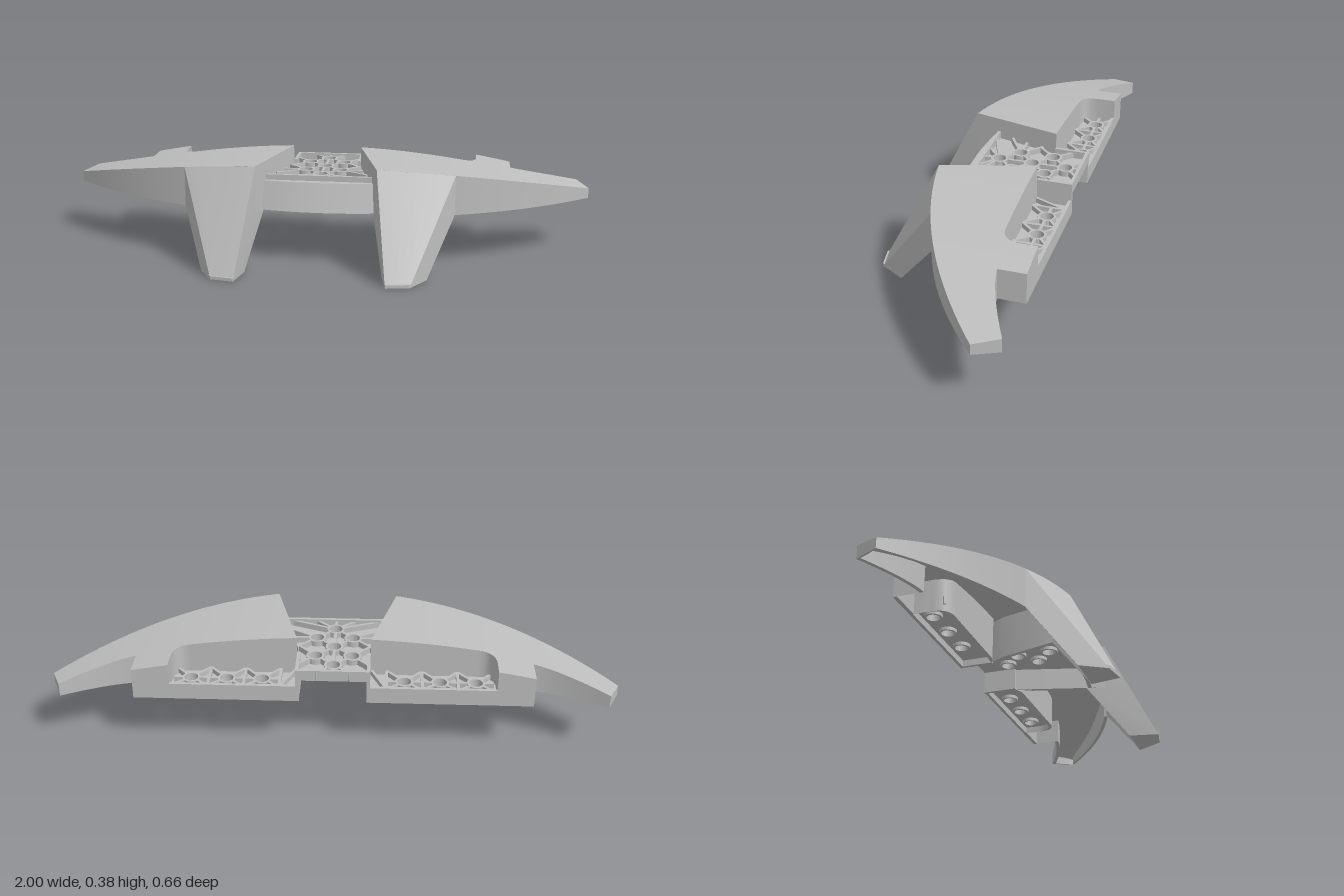
import * as THREE from 'three';
import { toCreasedNormals, mergeGeometries } from 'three/addons/utils/BufferGeometryUtils.js';

const grey = new THREE.MeshStandardMaterial({ color: 0xbebebe, side: THREE.DoubleSide });
grey.name = 'plain grey';
const T = 0.015; // wall thickness

function mesh(name, geometry) {
  const m = new THREE.Mesh(geometry, grey);
  m.name = name;
  return m;
}

// Joins closed rings of points into a surface; optional fan caps at both ends
function loft(rings, caps = false) {
  const pos = [];
  const tri = (a, b, c) => {
    const [A, B, C] = [a, b, c].map((p) => new THREE.Vector3(...p));
    if (B.clone().sub(A).cross(C.clone().sub(A)).length() > 1e-8) pos.push(...a, ...b, ...c);
  };
  for (let i = 0; i + 1 < rings.length; i++) {
    const p = rings[i], q = rings[i + 1], n = p.length;
    for (let j = 0; j < n; j++) {
      const k = (j + 1) % n;
      tri(p[j], q[j], q[k]);
      tri(p[j], q[k], p[k]);
    }
  }
  if (caps) {
    const a = rings[0], b = rings[rings.length - 1];
    for (let j = 1; j + 1 < a.length; j++) {
      tri(a[0], a[j], a[j + 1]);
      tri(b[0], b[j + 1], b[j]);
    }
  }
  const g = new THREE.BufferGeometry();
  g.setAttribute('position', new THREE.Float32BufferAttribute(pos, 3));
  return toCreasedNormals(g, 0.45);
}

// Horizontal plate from [x, z] corners with round holes
function plate(corners, holes, y0, y1, r = 0.024) {
  const s = new THREE.Shape(corners.map(([x, z]) => new THREE.Vector2(x, -z)));
  for (const [x, z] of holes) s.holes.push(new THREE.Path().absarc(x, -z, r, 0, Math.PI * 2, true));
  const g = new THREE.ExtrudeGeometry(s, { depth: y1 - y0, bevelEnabled: false, curveSegments: 10 });
  return g.rotateX(-Math.PI / 2).translate(0, y0, 0);
}

function boss([x, z], y0, y1) {
  const s = new THREE.Shape().absarc(x, -z, 0.032, 0, Math.PI * 2);
  s.holes.push(new THREE.Path().absarc(x, -z, 0.024, 0, Math.PI * 2, true));
  const g = new THREE.ExtrudeGeometry(s, { depth: y1 - y0, bevelEnabled: false, curveSegments: 10 });
  return g.rotateX(-Math.PI / 2).translate(0, y0, 0);
}

// Thin upright rib; starts outside the boss at its first end, and at its second if trimmed
function rib(x0, z0, x1, z1, y0, y1, trim0 = 0, trim1 = 0, w = 0.01) {
  const len = Math.hypot(x1 - x0, z1 - z0), ux = (x1 - x0) / len, uz = (z1 - z0) / len;
  const l = len - trim0 - trim1, mid = trim0 + l / 2;
  return new THREE.BoxGeometry(l, y1 - y0, w)
    .rotateY(-Math.atan2(uz, ux))
    .translate(x0 + ux * mid, (y0 + y1) / 2, z0 + uz * mid);
}

const box = (x0, x1, y0, y1, z0, z1) =>
  new THREE.BoxGeometry(x1 - x0, y1 - y0, z1 - z0).translate((x0 + x1) / 2, (y0 + y1) / 2, (z0 + z1) / 2);
const merge = (list) => mergeGeometries(list.map((g) => (g.index ? g.toNonIndexed() : g)));

// Curves that govern the wing
const topY = (x) => 0.383 - 0.145 * x * x;
const frontZ = (x) => 0.152 - 0.333 * x * x - 0.059 * x ** 4;
const innerZ = (x) => -0.2 + (x - 0.13) * (0.336 / 0.09);
const cornerZ = (x) => -0.255 + Math.sqrt(Math.max(0, 0.055 ** 2 - (x - 0.515) ** 2));
const scoopZ = (x) => -0.23 - 0.097 * Math.max(0, (x - 0.7) / 0.26) ** 1.4;
const tipZ = (x) => -0.327 + (x - 0.96) * (0.087 / 0.04);

// Hollow wing: top skin with front and back walls, open below
function wing() {
  const rings = [];
  const back = () => -0.2, box = () => -0.327;
  const spans = [ // from, to, steps, front edge, back edge, has front wall
    [0.13, 0.22, 3, innerZ, back, true],
    [0.22, 0.5, 8, frontZ, back, false],
    [0.5, 0.515, 1, frontZ, back, true],
    [0.515, 0.57, 8, frontZ, cornerZ, true],
    [0.57, 0.7, 4, frontZ, box, true],
    [0.7, 0.96, 10, frontZ, scoopZ, true],
    [0.96, 1, 2, frontZ, tipZ, true],
  ];
  for (const [a, b, n, front, rear, wall] of spans) {
    for (let i = 0; i <= n; i++) {
      const x = a + ((b - a) * i) / n, y = topY(x), zf = front(x), zb = Math.min(rear(x), zf);
      const mid = (zf + zb) / 2, zfi = Math.max(zf - (front === innerZ ? 4 * T : T), mid);
      const zbi = Math.min(zb + T, mid), yf = wall ? 0.2 : y - T;
      rings.push([[x, yf, zf], [x, y, zf], [x, y, zb], [x, 0.2, zb],
        [x, 0.2, zbi], [x, y - T, zbi], [x, y - T, zfi], [x, yf, zfi]]);
    }
  }
  return loft(rings);
}

// Hollow leg: inner side, sloping front and outer side, open at the back
function leg() {
  const rings = [];
  const add = (top, foot, dx, dz) => rings.push([top, foot,
    [foot[0] + dx, foot[1], foot[2] + dz], [top[0] + dx, top[1] - (dz ? 0.02 : 0), top[2] + dz]]);
  add([0.202, 0.2, 0.065], [0.25, 0, 0.22], T, 0);
  for (let i = 0; i <= 6; i++) {
    const t = i / 6, x = 0.22 + 0.28 * t;
    add([x, topY(x), frontZ(x)], [0.27 + 0.085 * t, 0, 0.327 - 0.015 * t], T * (1 - 2 * t), -T);
  }
  add([0.5, 0.2, 0.065], [0.41, 0, 0.22], -T, 0);
  return loft(rings, true);
}

// Shallow tray behind each wing, with three ringed holes and crossed ribs
function tray() {
  const y0 = 0.225, y1 = 0.255, z0 = -0.32, z1 = -0.2, zc = -0.27;
  const holes = [0.25, 0.375, 0.5].map((x) => [x, zc]);
  const parts = [
    plate([[0.13, z0], [0.57, z0], [0.57, -0.24], [0.54, z1], [0.13, z1]], holes, y0, y0 + 0.012),
    box(0.13, 0.57, 0.2, 0.26, -0.327, -0.315),
    rib(0.14, zc, 0.56, zc, y0, y0 + 0.011),
  ];
  parts.pop();
  for (const h of holes) {
    parts.push(boss(h, y0 - 0.012, y1));
    for (const sx of [-1, 1]) {
      parts.push(rib(h[0], zc, h[0] + sx * 0.0625, zc, y0, y1, 0.03));
      for (const z of [z0, z1]) parts.push(rib(h[0], zc, h[0] + sx * 0.0625, z, y0, y1, 0.03));
    }
  }
  for (const x of [0.1875, 0.3125, 0.4375]) parts.push(rib(x, z0, x, z1, y0, y1));
  parts.push(rib(0.1875, z0, 0.135, z1, y0, y1));
  return merge(parts);
}

// Raised middle deck with seven ringed holes and diagonal ribs
function deck() {
  const y0 = 0.285, y1 = 0.318, zb = -0.325, zf = 0.045;
  const holes = [[0, -0.27], [0, -0.145], [0, -0.02]];
  for (const s of [-1, 1]) holes.push([s * 0.065, -0.208], [s * 0.065, -0.083]);
  const parts = [
    plate([[-0.13, zb], [0.13, zb], [0.13, -0.2], [0.198, zf], [-0.198, zf], [-0.13, -0.2]], holes, y0, y0 + 0.012),
    box(-0.13, 0.13, y0, 0.325, -0.327, -0.315),
    box(-0.197, 0.197, y0, 0.325, 0.035, 0.047),
  ];
  for (const h of holes) parts.push(boss(h, y0 - 0.012, y1));
  for (const s of [-1, 1]) {
    const x = s * 0.065;
    parts.push(box(s * 0.124 - 0.006, s * 0.124 + 0.006, 0.2, 0.325, -0.327, -0.2));
    for (const [z, zs] of [[-0.27, -0.208], [-0.145, -0.208], [-0.145, -0.083], [-0.02, -0.083]])
      parts.push(rib(0, z, x, zs, y0, y1, 0.03, 0.03));
    // ribs from the holes out to the rim
    for (const [xa, za, xb, zbb] of [[0, -0.27, 0.06, zb], [0.065, -0.208, 0.125, -0.27],
      [0.065, -0.208, 0.125, -0.145], [0.065, -0.083, 0.135, -0.15], [0.065, -0.083, 0.17, -0.02],
      [0.065, -0.083, 0.15, -0.083], [0, -0.02, 0.16, 0.04], [0, -0.02, 0.07, 0.04]])
      parts.push(rib(s * xa, za, s * xb, zbb, y0, y1, 0.03));
  }
  parts.push(rib(0, -0.27, 0, zb, y0, y1, 0.03), rib(0, -0.02, 0, 0.04, y0, y1, 0.03));
  parts.push(rib(0, -0.27, 0, -0.145, y0, y1, 0.03, 0.03), rib(0, -0.145, 0, -0.02, y0, y1, 0.03, 0.03));
  return merge(parts);
}

// Bowed front panel between the legs, with a ledge on top
function frontPanel() {
  const rings = [];
  for (let i = 0; i <= 12; i++) {
    const x = -0.206 + (0.412 * i) / 12, zt = 0.075 - 0.35 * x * x, zl = 0.105 - 0.45 * x * x;
    rings.push([[x, 0.2, zl], [x, 0.305, zt], [x, 0.305, 0.04], [x, 0.29, 0.04],
      [x, 0.29, zt - T], [x, 0.2, zl - T]]);
  }
  return loft(rings);
}

export function createModel() {
  const group = new THREE.Group();
  group.name = 'wingedBase';
  for (const [side, s] of [['left', 1], ['right', -1]]) {
    const half = new THREE.Group();
    half.name = side + 'Half';
    half.add(mesh('wing', wing()), mesh('leg', leg()), mesh('ribbedTray', tray()));
    half.add(mesh('footSole', plate([[0.25, 0.22], [0.41, 0.22], [0.355, 0.312], [0.27, 0.327]], [], 0, 0.012)));
    half.scale.x = s;
    group.add(half);
  }
  group.add(mesh('ribbedDeck', deck()), mesh('frontPanel', frontPanel()));
  return group;
}
